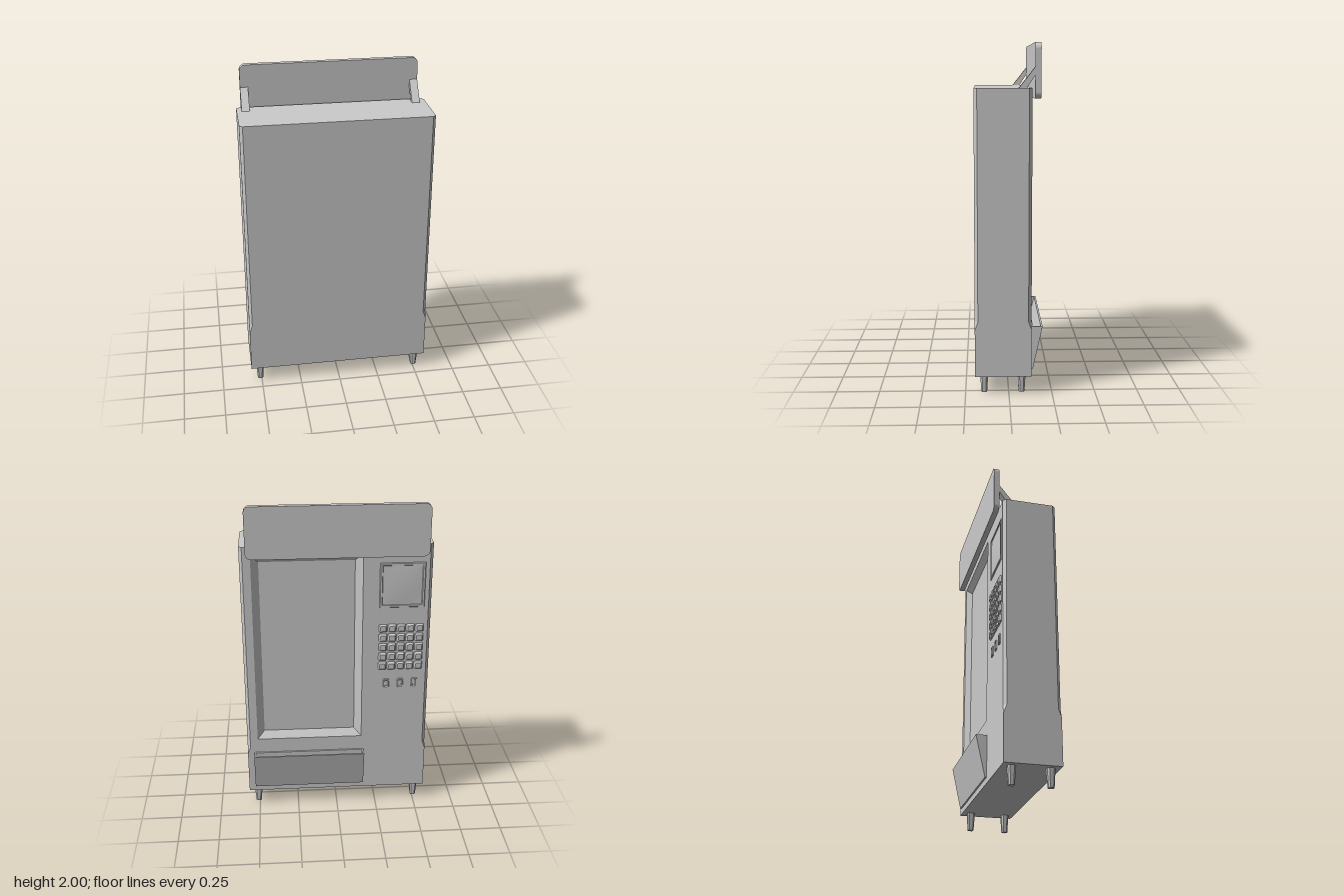
import * as THREE from 'three';

const material = new THREE.MeshStandardMaterial({ color: 0xcccccc, flatShading: true });
const smooth = new THREE.MeshStandardMaterial({ color: 0xcccccc });
const BACK = -0.13; // z of the panel that carries the controls

// Rectangle with cut corners, counter-clockwise seen from above
function ring([y, w, d, c = 0, zc = 0]) {
  const a = w / 2, b = d / 2;
  return [[a, b - c], [a, c - b], [a - c, -b], [c - a, -b], [-a, c - b], [-a, b - c], [c - a, b], [a - c, b]]
    .map(([x, z]) => new THREE.Vector3(x, y, z + zc));
}

// Skin over sections [y, width, depth, cornerCut, zCentre]; going back down makes a recess
function loft(sections, { bottom = true, skip = -1 } = {}) {
  const rings = sections.map(ring), pos = [];
  const tri = (a, b, c) => {
    const area = b.clone().sub(a).cross(c.clone().sub(a)).length();
    if (area > 1e-9) for (const p of [a, b, c]) pos.push(p.x, p.y, p.z);
  };
  for (let s = 0; s + 1 < rings.length; s++) {
    const A = rings[s], B = rings[s + 1];
    for (let i = 0; i < 8; i++) {
      if (i === skip) continue;
      const j = (i + 1) % 8;
      tri(A[i], A[j], B[j]);
      tri(A[i], B[j], B[i]);
    }
  }
  const first = rings[0], last = rings[rings.length - 1];
  for (let i = 1; i < 7; i++) {
    tri(last[0], last[i], last[i + 1]);
    if (bottom) tri(first[0], first[i + 1], first[i]);
  }
  const g = new THREE.BufferGeometry();
  g.setAttribute('position', new THREE.Float32BufferAttribute(pos, 3));
  g.computeVertexNormals();
  return g;
}

// Same skin, growing out of the control panel towards -z
const onPanel = (sections) => loft(sections, { bottom: false }).rotateX(-Math.PI / 2);

export function createModel() {
  const model = new THREE.Group();
  const add = (name, geometry, x = 0, y = 0, z = 0, mat = material) => {
    const mesh = new THREE.Mesh(geometry, mat);
    mesh.name = name;
    mesh.position.set(x, y, z);
    model.add(mesh);
    return mesh;
  };

  // Cabinet: square at the foot, cut corners above; its panel side is left open
  const cut = 0.018;
  add('cabinet', loft([
    [0.105, 1.13, 0.325, 0], [0.38, 1.13, 0.325, 0],
    [0.43, 1.13, 0.325, cut], [1.75, 1.13, 0.325, cut],
  ], { skip: 2 }), 0, 0, 0.0325);

  // Control panel with the window opening
  const w = 0.565, n = w - cut;
  const panel = new THREE.Shape([[-w, 0.105], [w, 0.105], [w, 0.38], [n, 0.43], [n, 1.75], [-n, 1.75], [-n, 0.43], [-w, 0.38]]
    .map(([x, y]) => new THREE.Vector2(x, y)));
  panel.holes.push(new THREE.Path([[-0.5, 0.485], [-0.5, 1.695], [0.155, 1.695], [0.155, 0.485]]
    .map(([x, y]) => new THREE.Vector2(x, y))));
  add('controlPanel', new THREE.ShapeGeometry(panel).rotateY(Math.PI), 0, 0, BACK);
  add('windowRecess', onPanel([[0, 0.655, 1.21], [-0.032, 0.565, 1.12]]), 0.1725, 1.09, BACK);

  // Delivery tray: wedge with an open top
  add('deliveryTray', loft([
    [0.14, 0.695, 0.01, 0, -0.135], [0.39, 0.695, 0.065, 0, -0.1625],
    [0.39, 0.675, 0.045, 0, -0.1625], [0.2, 0.675, 0.008, 0, -0.138],
  ]), 0.177);

  // Screen: raised frame and a gently domed glass
  add('screenFrame', onPanel([
    [0, 0.27, 0.28], [0.006, 0.262, 0.272], [0.006, 0.24, 0.25], [0.001, 0.234, 0.244],
  ]), -0.388, 1.498, BACK);
  const glass = new THREE.PlaneGeometry(0.234, 0.244, 10, 10);
  const p = glass.attributes.position;
  for (let i = 0; i < p.count; i++) {
    const u = p.getX(i) / 0.117, v = p.getY(i) / 0.122;
    p.setZ(i, 0.004 * (1 - u * u) * (1 - v * v));
  }
  glass.computeVertexNormals();
  add('screenGlass', glass.rotateY(Math.PI), -0.388, 1.498, BACK - 0.0015, smooth);

  // Keypad, five by five
  const key = onPanel([[0, 0.05, 0.05, 0.004], [0.008, 0.046, 0.046, 0.004], [0.014, 0.034, 0.034, 0.004]]);
  for (let r = 0; r < 5; r++) {
    for (let c = 0; c < 5; c++) add('key', key, -0.498 + c * 0.055, 0.975 + r * 0.0625, BACK);
  }

  // Coin slots
  const slot = onPanel([
    [0, 0.036, 0.062, 0.004], [0.007, 0.032, 0.058, 0.004], [0.007, 0.02, 0.046, 0.002], [0.001, 0.016, 0.036, 0.002],
  ]);
  for (const x of [-0.305, -0.392, -0.478]) add('coinSlot', slot, x, 0.855, BACK);

  // Sign board with rounded corners
  const hw = 0.531, hh = 0.155, r = 0.035;
  const board = new THREE.Shape();
  board.absarc(hw - r, hh - r, r, 0, Math.PI / 2);
  board.absarc(r - hw, hh - r, r, Math.PI / 2, Math.PI);
  board.absarc(r - hw, r - hh, r, Math.PI, Math.PI * 1.5);
  board.absarc(hw - r, r - hh, r, Math.PI * 1.5, Math.PI * 2);
  add('signBoard', new THREE.ExtrudeGeometry(board, { depth: 0.033, bevelEnabled: false, curveSegments: 5 }), -0.004, 1.845, -0.18);

  // Slanted struts from the cabinet top to the sign
  const strut = new THREE.Shape([[0.055, 1.749], [0.1, 1.749], [0.15, 1.825], [0.15, 1.87]]
    .map(([u, y]) => new THREE.Vector2(u, y)));
  const strutGeometry = new THREE.ExtrudeGeometry(strut, { depth: 0.047, bevelEnabled: false }).rotateY(Math.PI / 2);
  for (const x of [-0.535, 0.48]) add('signStrut', strutGeometry, x);

  // Tapered feet
  const foot = loft([[0, 0.034, 0.034, 0.008], [0.07, 0.045, 0.042, 0.01], [0.106, 0.05, 0.046, 0.01]]);
  for (const x of [-0.508, 0.508]) for (const z of [-0.075, 0.142]) add('foot', foot, x, 0, z);

  return model;
}
